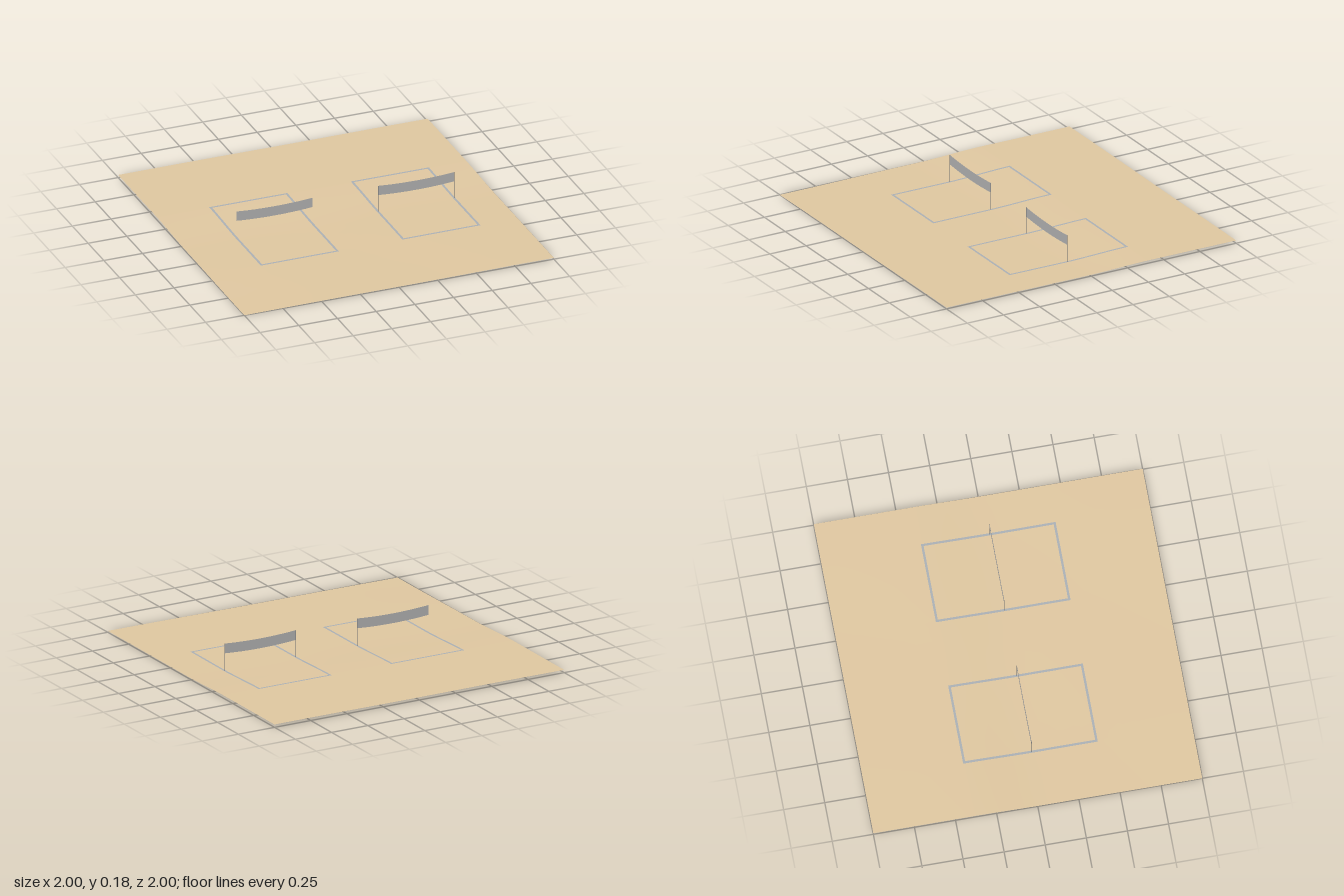
import * as THREE from 'three';

const LINE = 0.014;
const FRONT = 0.427, BACK = -0.392, NET_Z = 0.025;
const courts = [
  { name: 'rightCourt', x0: -0.66, x1: -0.155 },
  { name: 'leftCourt', x0: 0.255, x1: 0.76 },
];

// Gentle rise of the sand towards the back, a little steeper on the right side
function sandHeight(x, z) {
  const rise = THREE.MathUtils.smoothstep(-z, -0.05, 0.4);
  const low = 0.007 + 0.002 * x - 0.004 * THREE.MathUtils.smoothstep(z, 0.1, 1) * (1 - x) / 2;
  return low + rise * (0.0115 - 0.002 * x) + 0.001 * Math.sin(5 * x + 1) * Math.cos(4 * z);
}

// Sorted grid coordinates: even steps plus the edges of the painted lines
function gridSteps(edges) {
  const steps = [...edges];
  for (let i = 0; i <= 20; i++) {
    const v = -1 + i * 0.1;
    if (edges.every(e => Math.abs(e - v) > 0.012)) steps.push(v);
  }
  return steps.sort((a, b) => a - b);
}

function isLine(x, z) {
  return courts.some(({ x0, x1 }) => {
    const inside = m => x > x0 + m && x < x1 - m && z > BACK + m && z < FRONT - m;
    return inside(0) && !inside(LINE);
  });
}

// Ground cells chosen by a test on their centre, so lines lie flush in the sand
function groundMesh(name, color, wanted) {
  const xs = gridSteps(courts.flatMap(c => [c.x0, c.x0 + LINE, c.x1 - LINE, c.x1]));
  const zs = gridSteps([BACK, BACK + LINE, FRONT - LINE, FRONT]);
  const position = [], index = [];
  for (const z of zs) for (const x of xs) position.push(x, sandHeight(x, z), z);
  for (let j = 0; j < zs.length - 1; j++) {
    for (let i = 0; i < xs.length - 1; i++) {
      if (!wanted((xs[i] + xs[i + 1]) / 2, (zs[j] + zs[j + 1]) / 2)) continue;
      const a = j * xs.length + i, b = a + xs.length;
      index.push(a, b, a + 1, a + 1, b, b + 1);
    }
  }
  const geo = new THREE.BufferGeometry();
  geo.setAttribute('position', new THREE.Float32BufferAttribute(position, 3));
  geo.setIndex(index);
  geo.computeVertexNormals();
  const mesh = new THREE.Mesh(geo, new THREE.MeshStandardMaterial({ color, side: THREE.DoubleSide }));
  mesh.name = name;
  return mesh;
}

// Net band sagging between two thin posts
function createNet({ name, x0, x1 }) {
  const group = new THREE.Group();
  group.name = name + 'Net';
  const left = x0 + LINE / 2, right = x1 - LINE / 2;
  const width = right - left, mid = (left + right) / 2;

  const geo = new THREE.PlaneGeometry(width, 0.062, 12, 1);
  const p = geo.attributes.position;
  for (let i = 0; i < p.count; i++) {
    const t = p.getX(i) / (width / 2);
    p.setY(i, p.getY(i) - 0.01 * (1 - t * t));
  }
  const net = new THREE.Mesh(geo, new THREE.MeshStandardMaterial({ color: 0xb0b0b0, side: THREE.DoubleSide }));
  net.name = 'net';
  net.position.set(mid, 0.149, NET_Z);
  group.add(net);

  for (const x of [left, right]) {
    const base = sandHeight(x, NET_Z), height = 0.18 - base;
    const post = new THREE.Mesh(
      new THREE.CylinderGeometry(0.0015, 0.0015, height, 8),
      new THREE.MeshStandardMaterial({ color: 0x777777 })
    );
    post.name = 'post';
    post.position.set(x, base + height / 2, NET_Z);
    group.add(post);
  }
  return group;
}

export function createModel() {
  const model = new THREE.Group();
  model.name = 'sandCourts';
  model.add(groundMesh('sand', 0xdfc7a0, (x, z) => !isLine(x, z)));
  model.add(groundMesh('courtLines', 0xabb0b4, isLine));
  for (const court of courts) model.add(createNet(court));
  return model;
}
